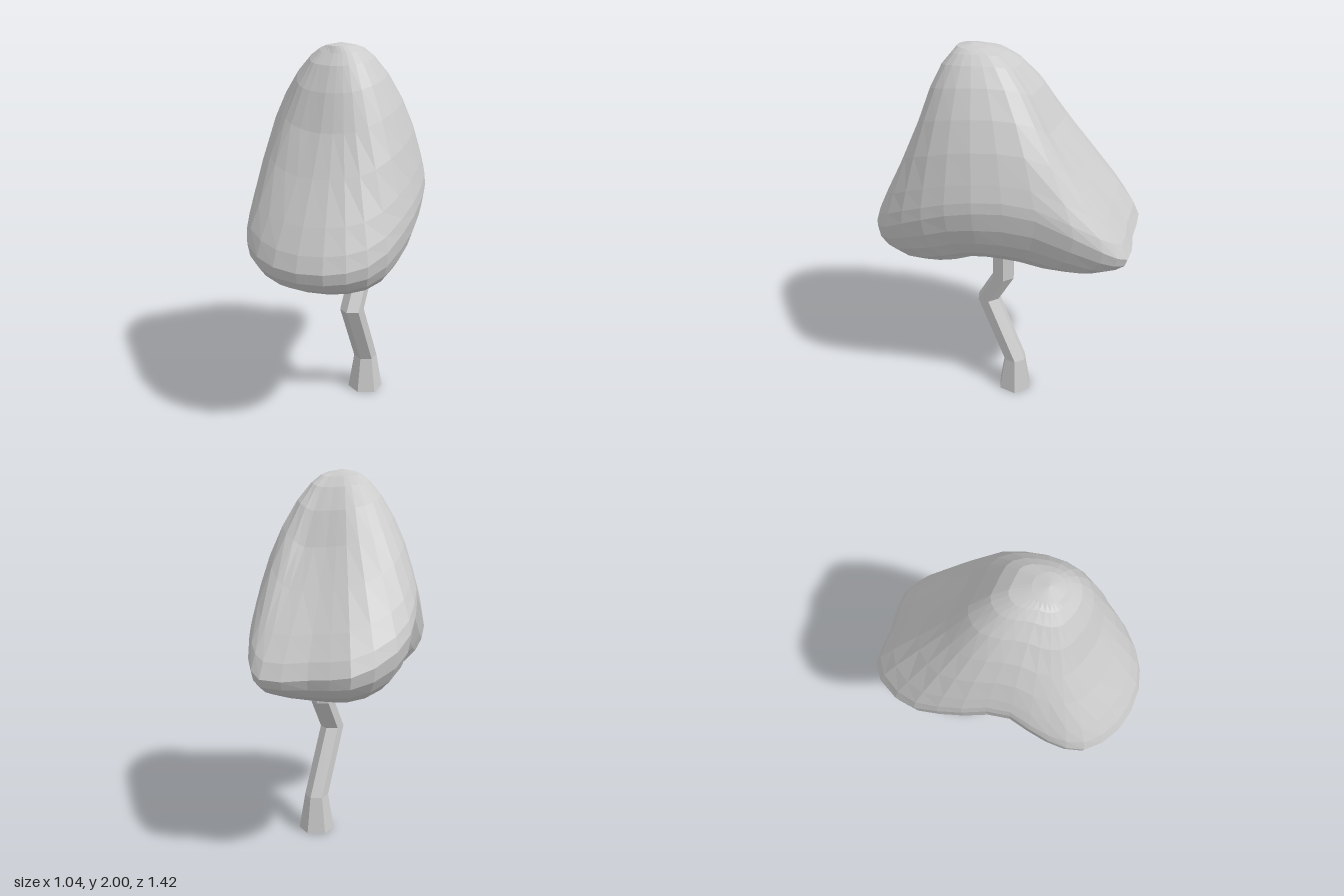
import * as THREE from 'three';

// Skin a list of closed rings (top to bottom); the first and last rings are single points.
function loft(rings) {
  const pos = [], n = rings[0].length, last = rings.length - 2;
  for (let i = 0; i <= last; i++) {
    for (let j = 0; j < n; j++) {
      const k = (j + 1) % n;
      const a = rings[i][j], c = rings[i][k], b = rings[i + 1][j], d = rings[i + 1][k];
      if (i > 0) pos.push(...a, ...c, ...b);
      if (i < last) pos.push(...c, ...d, ...b);
    }
  }
  const geo = new THREE.BufferGeometry();
  geo.setAttribute('position', new THREE.Float32BufferAttribute(pos, 3));
  geo.computeVertexNormals();
  return geo;
}

const lerp = THREE.MathUtils.lerp;

// Canopy rim, clockwise from the back: x, z, rim height, underside height, fullness, roll-under
const RIM = [
  [0.04, -0.71, 1.01, 0.89, 0.12, 0.2], [0.17, -0.62, 1.09, 0.89, 0.38, 0.4],
  [0.35, -0.29, 1.27, 0.92, 1, 0.9], [0.48, 0, 1.27, 0.93, 1, 1],
  [0.52, 0.28, 1.17, 0.89, 0.85, 0.5], [0.46, 0.54, 1.04, 0.85, 0.35, 0.1],
  [0.29, 0.68, 1.0, 0.84, 0.08, 0], [0.02, 0.71, 1.0, 0.84, 0.03, 0],
  [-0.2, 0.61, 1.06, 0.86, 0.3, 0.2], [-0.29, 0.42, 1.18, 0.89, 0.75, 0.6],
  [-0.34, 0.2, 1.38, 0.95, 1, 1], [-0.46, -0.03, 1.31, 0.93, 0.85, 0.9],
  [-0.52, -0.3, 1.16, 0.89, 0.55, 0.4], [-0.41, -0.57, 1.05, 0.87, 0.28, 0.1],
  [-0.2, -0.635, 1.02, 0.87, 0.22, 0.1],
];
// Below the cap to the rim: height fraction, slim spread, full spread
const UPPER = [
  [0.955, 0.17, 0.26], [0.9, 0.25, 0.37], [0.78, 0.35, 0.53],
  [0.6, 0.46, 0.7], [0.4, 0.64, 0.84], [0.2, 0.84, 0.94], [0.08, 0.95, 0.99], [0, 1, 1],
];
// Rim to underside: spread and height fraction, for a tight lip and for a wide roll
const LOWER = [
  [0.985, 0.65, 0.96, 0.72], [0.93, 0.35, 0.87, 0.46],
  [0.84, 0.12, 0.73, 0.22], [0.7, 0, 0.55, 0.06],
];

function canopyGeometry() {
  const sides = 32;
  const curve = (points) => new THREE.CatmullRomCurve3(points, true);
  const rim = curve(RIM.map(([x, z, h]) => new THREE.Vector3(x, h, z)));
  const traits = curve(RIM.map(([, , , low, full, roll]) => new THREE.Vector3(low, full, roll)));
  const apex = [0.09, 2, 0.165], base = [0.1, 0.94, 0];
  const columns = [];
  for (let j = 0; j < sides; j++) {
    const p = rim.getPoint(j / sides);
    const { x: low, y: full, z: roll } = traits.getPoint(j / sides);
    // Small round cap at the peak
    const dx = p.x - apex[0], dz = p.z - apex[2], cap = 0.075 / Math.hypot(dx, dz);
    const column = [apex, [apex[0] + dx * cap, 1.986, apex[2] + dz * cap]];
    for (const [v, slim, wide] of UPPER) {
      const s = lerp(slim, wide, full);
      column.push([apex[0] + dx * s, lerp(p.y, apex[1], v), apex[2] + dz * s]);
    }
    const under = (s, y) => column.push([lerp(base[0], p.x, s), y, lerp(base[2], p.z, s)]);
    for (const [s0, v0, s1, v1] of LOWER) under(lerp(s0, s1, roll), lerp(low, p.y, lerp(v0, v1, roll)));
    under(0.36, lerp(low, base[1], 0.6));
    column.push(base);
    columns.push(column);
  }
  return loft(columns[0].map((_, i) => columns.map((column) => column[i])));
}

// Crooked six-sided stem: y, z, radius
function stemGeometry() {
  const path = [
    [0.97, -0.02, 0], [0.97, -0.02, 0.065], [0.73, -0.02, 0.065], [0.56, 0.08, 0.065],
    [0.2, -0.095, 0.065], [0, -0.095, 0.098], [0, -0.095, 0],
  ];
  return loft(path.map(([y, z, r]) => Array.from({ length: 6 }, (_, j) => {
    const a = -j * Math.PI / 3;
    return [0.11 + r * Math.sin(a), y, z + r * Math.cos(a)];
  })));
}

export function createModel() {
  const group = new THREE.Group();
  group.name = 'tree';
  const material = new THREE.MeshStandardMaterial({ color: 0xcccccc, flatShading: true });
  const parts = { canopy: canopyGeometry(), stem: stemGeometry() };
  for (const [name, geometry] of Object.entries(parts)) {
    const mesh = new THREE.Mesh(geometry, material);
    mesh.name = name;
    group.add(mesh);
  }
  return group;
}
